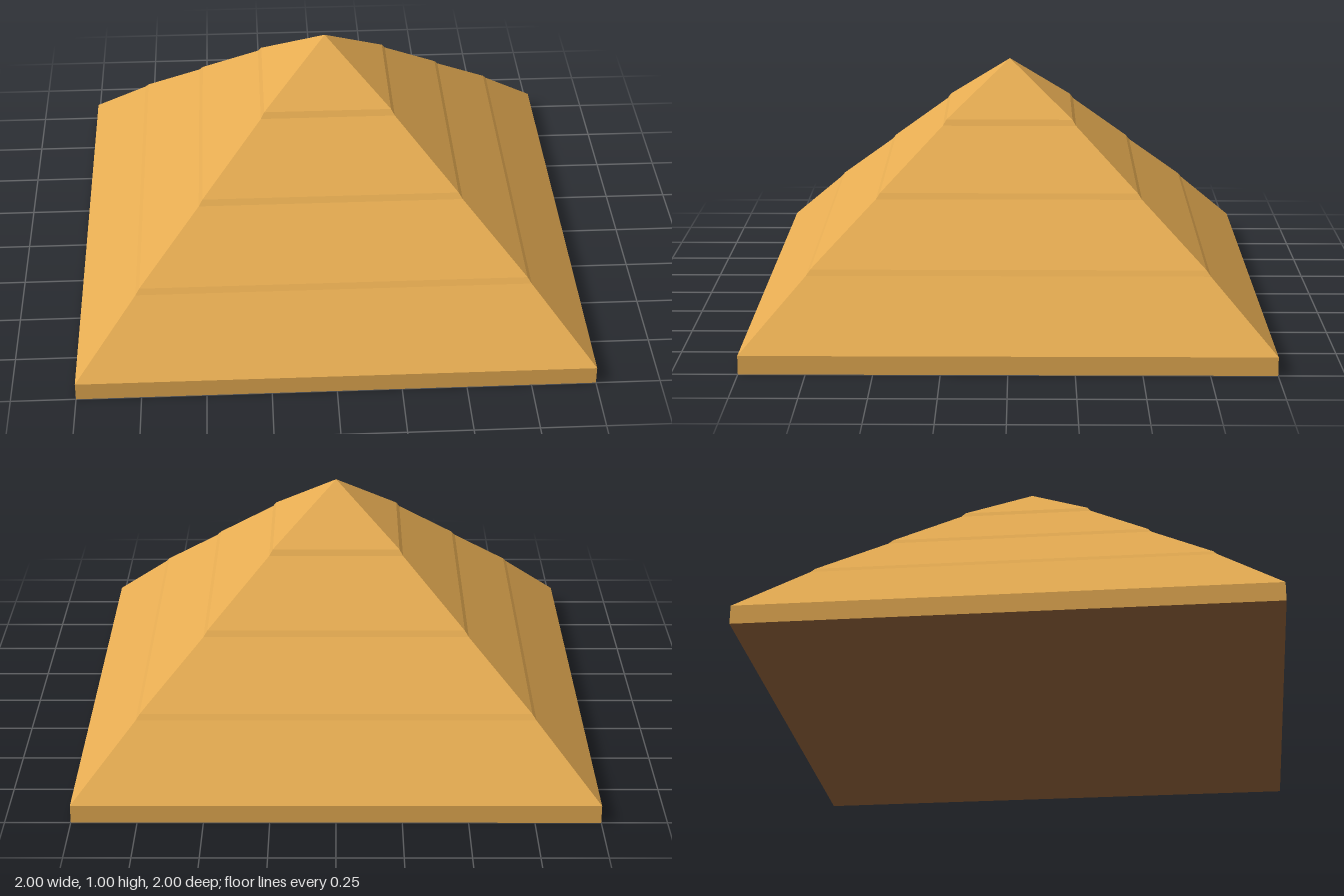
import * as THREE from 'three';

// One square tier, open at both ends, flat on all four sides: [half-width, height]
function tier(name, [w0, y0], [w1, y1], material) {
  const geo = new THREE.CylinderGeometry(
    w1 * Math.SQRT2, w0 * Math.SQRT2, y1 - y0, 4, 1, true, Math.PI / 4
  ).toNonIndexed();
  geo.computeVertexNormals();
  const mesh = new THREE.Mesh(geo, material);
  mesh.name = name;
  mesh.position.y = (y0 + y1) / 2;
  return mesh;
}

export function createModel() {
  const group = new THREE.Group();
  group.name = 'pyramid';

  const sandstone = new THREE.MeshStandardMaterial({ color: 0xe6ac52 });
  sandstone.name = 'sandstone';
  const darkBrown = new THREE.MeshStandardMaterial({ color: 0x8f5f39 });
  darkBrown.name = 'darkBrown';

  // Dark underside, facing down
  const underside = new THREE.Mesh(new THREE.PlaneGeometry(2, 2), darkBrown);
  underside.name = 'underside';
  underside.rotation.x = Math.PI / 2;
  group.add(underside);

  // Square plinth
  group.add(tier('plinth', [1, 0], [1, 0.072], sandstone));

  // Sloping tiers separated by narrow, steeper ledges
  const profile = [
    [1, 0.072],
    [0.765, 0.31], [0.75, 0.33],
    [0.515, 0.543], [0.5, 0.564],
    [0.264, 0.778], [0.25, 0.8],
    [0, 1],
  ];
  for (let i = 0; i < profile.length - 1; i++) {
    const name = (i % 2 ? 'ledge' : 'slope') + (Math.floor(i / 2) + 1);
    group.add(tier(name, profile[i], profile[i + 1], sandstone));
  }
  return group;
}
